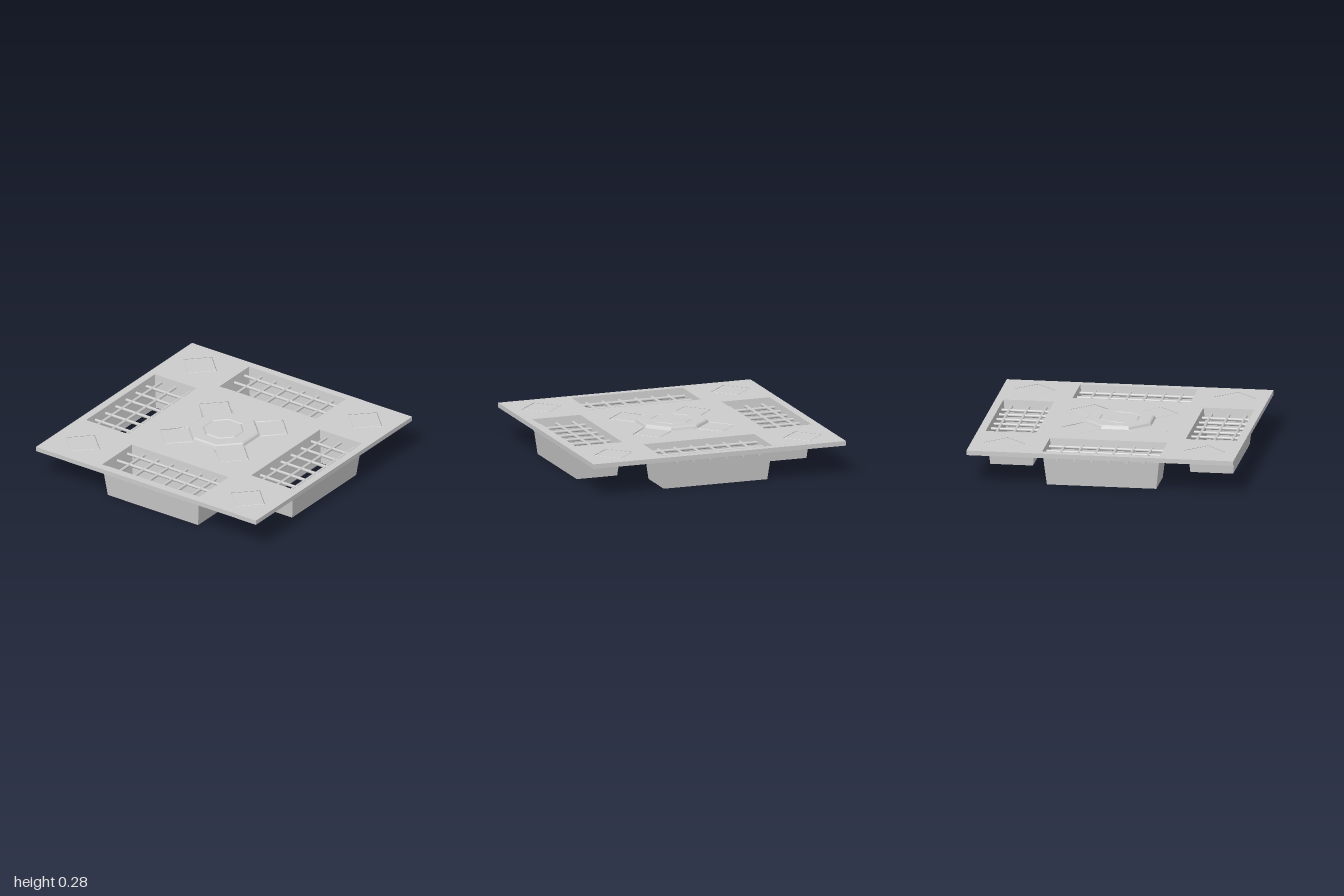
import * as THREE from 'three';

const TOP = 0.26, RIM = 0.225, BAR_Y = 0.21;
const material = new THREE.MeshStandardMaterial({ color: 0xcccccc, side: THREE.DoubleSide, flatShading: true });
const barMaterial = new THREE.MeshStandardMaterial({ color: 0xcccccc });

function addMesh(parent, name, geometry, mat = material) {
  const mesh = new THREE.Mesh(geometry, mat);
  mesh.name = name;
  parent.add(mesh);
  return mesh;
}

// Flat-shaded geometry from a list of convex polygons
function fromPolygons(polygons) {
  const positions = [];
  for (const p of polygons) {
    for (let i = 1; i < p.length - 1; i++) positions.push(...p[0], ...p[i], ...p[i + 1]);
  }
  const geometry = new THREE.BufferGeometry();
  geometry.setAttribute('position', new THREE.Float32BufferAttribute(positions, 3));
  geometry.computeVertexNormals();
  return geometry;
}

// Four-sided open band between two rectangles of half sizes (w, d)
function band(w0, d0, y0, w1, d1, y1) {
  const ring = (w, d, y) => [[-w, y, d], [w, y, d], [w, y, -d], [-w, y, -d]];
  const a = ring(w0, d0, y0), b = ring(w1, d1, y1);
  return fromPolygons(a.map((p, i) => [p, a[(i + 1) % 4], b[(i + 1) % 4], b[i]]));
}

// Diamond-shaped V groove with tapering spikes; returns its outline and faces
function diamondGroove(cx, cz, isSpiked) {
  const r = 0.16, w = 0.009, depth = 0.012, reach = 0.245;
  const corners = [0, 1, 2, 3].map((k) => {
    const a = k * Math.PI / 2, ux = Math.round(Math.cos(a)), uz = -Math.round(Math.sin(a));
    const at = (along, side, y) => [cx + ux * along + uz * side, y, cz + uz * along - ux * side];
    const spiked = isSpiked(ux, uz);
    const base = r + w * Math.SQRT2 - (spiked ? w : 0), side = spiked ? w : 0;
    return {
      spiked,
      valley: at(r, 0, TOP - depth),
      inner: at(r - w * Math.SQRT2, 0, TOP),
      before: at(base, side, TOP),
      after: at(base, -side, TOP),
      tip: at(reach, 0, TOP),
    };
  });
  const faces = [], outline = [];
  corners.forEach((c, k) => {
    const n = corners[(k + 1) % 4];
    faces.push([c.after, n.before, n.valley, c.valley], [c.valley, n.valley, n.inner, c.inner]);
    if (c.spiked) {
      faces.push([c.before, c.tip, c.valley], [c.tip, c.after, c.valley]);
      outline.push(c.before, c.tip, c.after);
    } else outline.push(c.before);
  });
  faces.push(corners.map((c) => c.inner));
  return { outline, faces };
}

function addBar(parent, name, length, x, z, alongX) {
  const geometry = new THREE.CylinderGeometry(0.012, 0.012, length, 10);
  if (alongX) geometry.rotateZ(Math.PI / 2);
  else geometry.rotateX(Math.PI / 2);
  addMesh(parent, name, geometry, barMaterial).position.set(x, BAR_Y, z);
}

export function createModel() {
  const model = new THREE.Group();
  model.name = 'floorGrateTile';

  // Grooves in the four corners and around the centre
  const grooves = [];
  for (const sx of [-1, 1]) {
    for (const sz of [-1, 1]) {
      grooves.push(diamondGroove(sx * 0.75, sz * 0.75, () => true));
      grooves.push(diamondGroove(sx * 0.25, sz * 0.25, (ux, uz) => ux * sx + uz * sz > 0));
    }
  }

  // Top sheet with openings for the grates and grooves
  const toShape = (points) => points.map(([x, z]) => new THREE.Vector2(x, -z));
  const rect = (cx, cz, w, d) => toShape([[cx - w, cz - d], [cx + w, cz - d], [cx + w, cz + d], [cx - w, cz + d]]);
  const sheet = new THREE.Shape(rect(0, 0, 1, 1));
  for (const s of [-1, 1]) {
    sheet.holes.push(new THREE.Path(rect(0, s * 0.75, 0.44, 0.19)));
    sheet.holes.push(new THREE.Path(rect(s * 0.75, 0, 0.19, 0.44)));
  }
  for (const g of grooves) sheet.holes.push(new THREE.Path(toShape(g.outline.map((p) => [p[0], p[2]]))));
  addMesh(model, 'topSheet', new THREE.ShapeGeometry(sheet).rotateX(-Math.PI / 2).translate(0, TOP, 0));
  grooves.forEach((g) => addMesh(model, 'diamondGroove', fromPolygons(g.faces)));

  // Thin skirt around the edge of the sheet
  addMesh(model, 'edgeSkirt', band(1, 1, RIM, 1, 1, TOP));

  // Raised octagonal boss with an engraved inner ring
  const profile = [[0.253, TOP - 0.001], [0.245, 0.277], [0.235, 0.285], [0.148, 0.285], [0.14, 0.278], [0.132, 0.285], [0, 0.285]];
  const toRadius = 1 / Math.cos(Math.PI / 8);
  addMesh(model, 'centreBoss', new THREE.LatheGeometry(
    profile.map(([a, y]) => new THREE.Vector2(a * toRadius, y)), 8, Math.PI / 8));

  // Four tapered shafts, each with three lengthwise bars
  for (let i = 0; i < 4; i++) {
    const shaft = new THREE.Group();
    shaft.name = 'grateShaft';
    shaft.rotation.y = i * Math.PI / 2;
    addMesh(shaft, 'shaftWalls', band(0.41, 0.16, 0, 0.44, 0.19, TOP)).position.z = 0.75;
    for (const z of [0.62, 0.75, 0.88]) addBar(shaft, 'lengthwiseBar', 0.94, 0, z, true);
    model.add(shaft);
  }

  // Long bars running under the whole tile in both directions
  for (let i = 0; i < 6; i++) {
    const offset = (i - 2.5) * 0.13;
    addBar(model, 'crossBar', 1.94, 0, offset, true);
    addBar(model, 'crossBar', 1.94, offset, 0, false);
  }
  return model;
}
